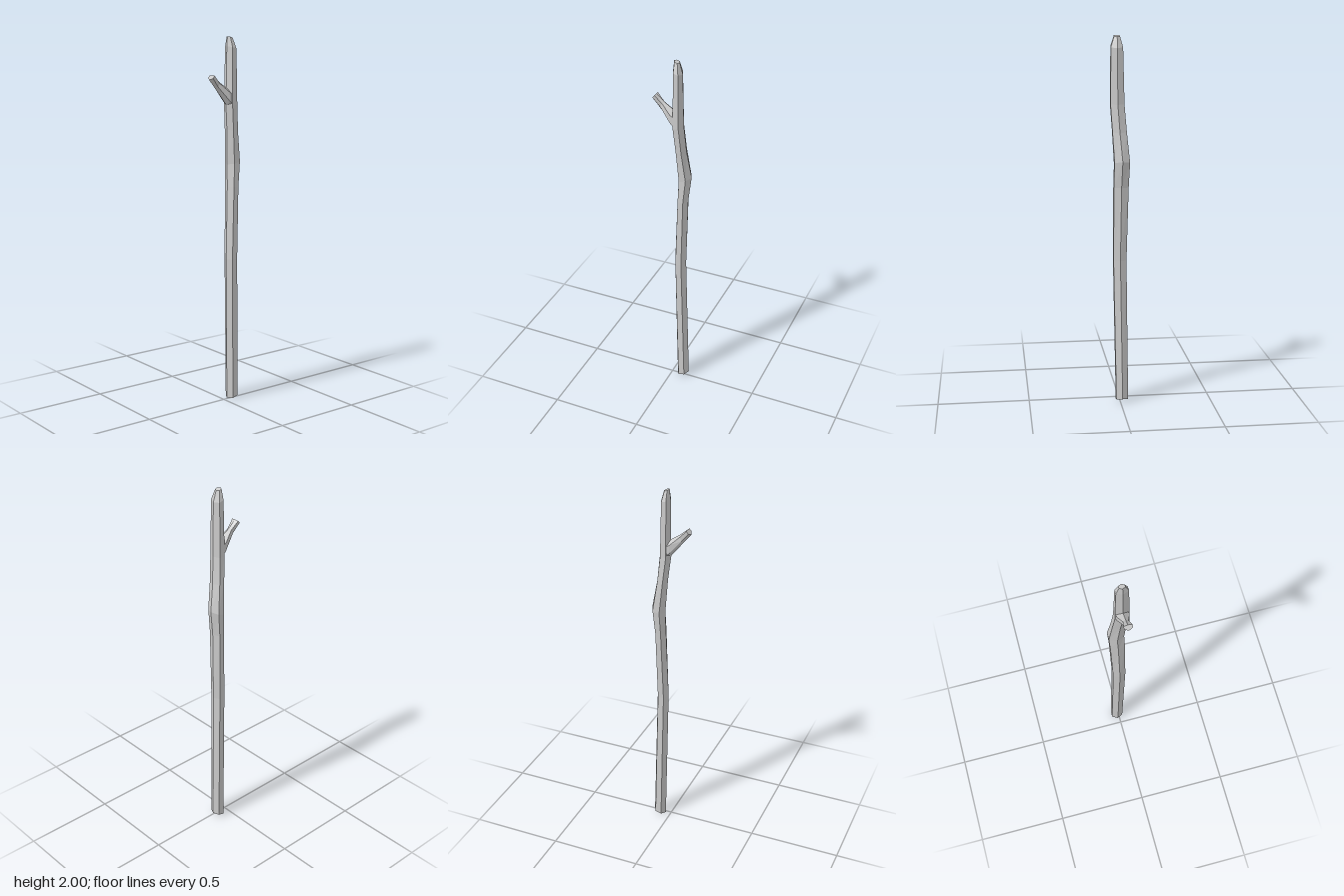
import * as THREE from 'three';

const material = new THREE.MeshStandardMaterial({ color: 0xcccccc, flatShading: true });

// Skin a row of equal-sized rings and cap both ends with fans
function loft(name, rings) {
  const pos = [];
  const tri = (...pts) => pts.forEach((p) => pos.push(p.x, p.y, p.z));
  const n = rings[0].length;
  for (let i = 0; i < rings.length - 1; i++) {
    for (let j = 0; j < n; j++) {
      const k = (j + 1) % n;
      const [a, b, c, d] = [rings[i][j], rings[i + 1][j], rings[i + 1][k], rings[i][k]];
      tri(a, b, d);
      tri(b, c, d);
    }
  }
  const first = rings[0], last = rings[rings.length - 1];
  for (let j = 1; j < n - 1; j++) {
    tri(first[0], first[j], first[j + 1]);
    tri(last[0], last[j + 1], last[j]);
  }
  const geometry = new THREE.BufferGeometry();
  geometry.setAttribute('position', new THREE.Float32BufferAttribute(pos, 3));
  geometry.computeVertexNormals();
  const mesh = new THREE.Mesh(geometry, material);
  mesh.name = name;
  return mesh;
}

// Six-sided trunk ring, tilted along x by 'slope'
function trunkRing([y, left, right, back, front, slope = 0]) {
  const cx = (left + right) / 2, cz = (back + front) / 2;
  const rx = (right - left) / 2, rz = (front - back) / 2;
  return Array.from({ length: 6 }, (_, j) => {
    const a = (j * Math.PI) / 3;
    const dx = rx * Math.cos(a);
    return new THREE.Vector3(cx + dx, y + dx * slope, cz + (rz * Math.sin(a)) / Math.sin(Math.PI / 3));
  });
}

// Six-sided twig ring between a lower and an upper point; lo and hi place the side corners
function twigRing([x0, y0, x1, y1, z, half, lo, hi]) {
  return [[0, 0], [lo, -1], [hi, -1], [1, 0], [hi, 1], [lo, 1]].map(([t, s]) =>
    new THREE.Vector3(x0 + (x1 - x0) * t, y0 + (y1 - y0) * t, z + s * half));
}

export function createModel() {
  const group = new THREE.Group();
  group.name = 'stick';

  // Trunk: height, left, right, back, front, slope
  group.add(loft('trunk', [
    [0.01, 0.03, 0.099, -0.043, 0.022, 0.29],
    [0.8, 0.016, 0.081, -0.035, 0.035],
    [1.2, 0.028, 0.088, -0.045, 0.034],
    [1.33, 0.03, 0.104, -0.051, 0.031, 0.3],
    [1.5, 0.019, 0.08, -0.036, 0.04, -0.3],
    [1.64, 0.005, 0.068, -0.025, 0.049],
    [1.94, 0.009, 0.061, -0.018, 0.046, -0.3],
    [1.995, 0.014, 0.044, -0.003, 0.028, -0.3],
  ].map(trunkRing)));

  // Side twig, narrowing and then flaring at its cut end
  group.add(loft('twig', [
    [0.03, 1.615, 0.03, 1.72, 0.012, 0.034, 0.25, 0.75],
    [0.008, 1.638, 0.002, 1.735, 0.013, 0.032, 0.25, 0.75],
    [-0.066, 1.728, -0.04, 1.762, 0.012, 0.014, 0.3, 0.8],
    [-0.105, 1.775, -0.084, 1.8, 0.012, 0.022, 0.4, 0.9],
  ].map(twigRing)));

  return group;
}
